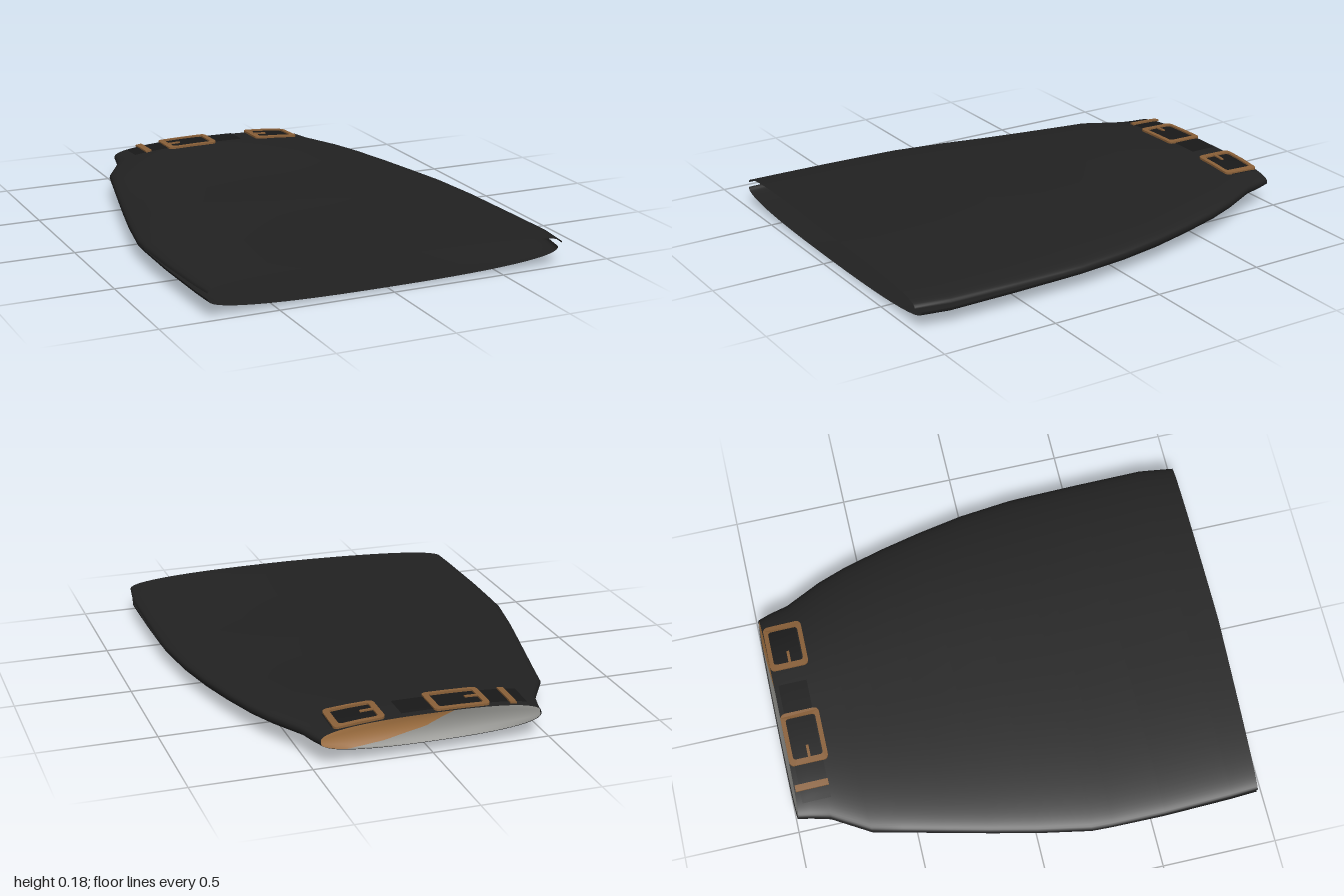
import * as THREE from 'three';
import { mergeGeometries, mergeVertices } from 'three/addons/utils/BufferGeometryUtils.js';

// Cross-sections from waist to hem: z, right edge x, left edge x, top y, bottom y, upper seam y, lower seam y
const SECTIONS = [
  [-1.00, -0.470, 0.465, 0.160, 0.050, 0.105, 0.105],
  [-0.93, -0.482, 0.485, 0.165, 0.046, 0.104, 0.104],
  [-0.85, -0.503, 0.505, 0.166, 0.041, 0.103, 0.103],
  [-0.69, -0.598, 0.585, 0.164, 0.030, 0.100, 0.100],
  [-0.56, -0.628, 0.634, 0.161, 0.020, 0.096, 0.096],
  [-0.38, -0.670, 0.685, 0.156, 0.008, 0.092, 0.092],
  [-0.20, -0.712, 0.728, 0.153, 0.000, 0.088, 0.088],
  [0.00, -0.757, 0.767, 0.156, 0.004, 0.085, 0.085],
  [0.23, -0.800, 0.793, 0.154, 0.012, 0.083, 0.083],
  [0.32, -0.803, 0.796, 0.153, 0.013, 0.084, 0.082],
  [0.55, -0.804, 0.799, 0.153, 0.013, 0.089, 0.079],
  [0.85, -0.795, 0.799, 0.155, 0.013, 0.096, 0.077],
  [1.00, -0.788, 0.777, 0.155, 0.014, 0.100, 0.077],
];
const POWER = 2.5;

function sectionAt(z) {
  let i = 0;
  while (i < SECTIONS.length - 2 && z > SECTIONS[i + 1][0]) i++;
  const a = SECTIONS[i], b = SECTIONS[i + 1];
  const k = (z - a[0]) / (b[0] - a[0]);
  return a.map((v, j) => v + (b[j] - v) * k);
}

// Height of the upper or lower panel at x, z
function panelY(x, z, upper) {
  const [, xr, xl, top, bottom, seamU, seamL] = sectionAt(z);
  const q = Math.min(1, Math.abs((x - (xl + xr) / 2) / ((xl - xr) / 2)));
  const s = Math.pow(1 - Math.pow(q, POWER), 1 / POWER);
  return upper ? seamU + (top - seamU) * s : seamL + (bottom - seamL) * s;
}

// Surface grid from a rule (u, v) => [x, y, z]
function grid(nu, nv, rule) {
  const pos = [], index = [];
  for (let j = 0; j <= nv; j++)
    for (let i = 0; i <= nu; i++) pos.push(...rule(i / nu, j / nv));
  for (let j = 0; j < nv; j++)
    for (let i = 0; i < nu; i++) {
      const a = j * (nu + 1) + i, b = a + nu + 1;
      index.push(a, a + 1, b, a + 1, b + 1, b);
    }
  const g = new THREE.BufferGeometry();
  g.setAttribute('position', new THREE.Float32BufferAttribute(pos, 3));
  g.setIndex(index);
  g.computeVertexNormals();
  return g;
}

// The waist edge leans: its top sits a little forward of its bottom
const waistZ = (y) => -1 + 0.025 * (y - 0.05) / 0.11;

function panel(upper) {
  const rows = SECTIONS.length - 1;
  const g = grid(48, rows, (u, v) => {
    const row = Math.round(v * rows);
    const [z, xr, xl, top, bottom, seamU, seamL] = SECTIONS[row];
    const t = Math.PI * u;
    const c = Math.cos(t), s = Math.pow(Math.max(0, Math.sin(t)), 2 / POWER);
    const side = (upper ? 1 : -1) * Math.sign(c) * Math.pow(Math.abs(c), 2 / POWER);
    const x = (xl + xr) / 2 + side * (xl - xr) / 2;
    const y = upper ? seamU + (top - seamU) * s : seamL + (bottom - seamL) * s;
    let zz = z;
    if (row === 0) zz = waistZ(y);
    if (row === rows) zz = upper ? 1 - 0.032 * Math.max(0, -x / 0.8) : 0.97;
    return [x, y, zz];
  });
  g.deleteAttribute('normal');
  return g;
}

// Lay a flat shape (drawn in x, z with thickness along y) onto the upper panel
function drape(g, lift) {
  const p = g.attributes.position;
  for (let i = 0; i < p.count; i++)
    p.setY(i, p.getY(i) + lift + panelY(p.getX(i), p.getZ(i), true));
  g.computeVertexNormals();
  return g;
}

function roundedRect(target, x, y, w, h, r) {
  target.moveTo(x + r, y);
  target.lineTo(x + w / 2, y);
  target.lineTo(x + w - r, y);
  target.quadraticCurveTo(x + w, y, x + w, y + r);
  target.lineTo(x + w, y + h - r);
  target.quadraticCurveTo(x + w, y + h, x + w - r, y + h);
  target.lineTo(x + w / 2, y + h);
  target.lineTo(x + r, y + h);
  target.quadraticCurveTo(x, y + h, x, y + h - r);
  target.lineTo(x, y + r);
  target.quadraticCurveTo(x, y, x + r, y);
  return target;
}

export function createModel() {
  const mat = (name, color, side = THREE.DoubleSide) => {
    const m = new THREE.MeshStandardMaterial({ color, side });
    m.name = name;
    return m;
  };
  const cloth = mat('black cloth', 0x222222);
  const leather = mat('black leather', 0x191919);
  const brass = mat('brass', 0x8a6038);
  const tanLining = mat('tan lining', 0xa07040);
  const greyLining = mat('grey lining', 0x8c8c88);

  const model = new THREE.Group();
  model.name = 'skirt';
  const add = (parent, name, geometry, material) => {
    const mesh = new THREE.Mesh(geometry, material);
    mesh.name = name;
    parent.add(mesh);
    return mesh;
  };

  // Skirt body: two panels joined along the sides, with open slits towards the hem
  const body = mergeVertices(mergeGeometries([panel(true), panel(false)]));
  body.computeVertexNormals();
  add(model, 'skirtBody', body, cloth);

  // Lining across the waist opening, slightly dished, in two colours
  const split = [[-0.13, 0.17], [0.02, 0.108], [0.2, 0.076], [0.45, 0.058]];
  const splitY = (x) => {
    if (x <= split[0][0]) return 1;
    let i = 0;
    while (i < split.length - 2 && x > split[i + 1][0]) i++;
    const [a, b] = [split[i], split[i + 1]];
    return a[1] + (b[1] - a[1]) * (x - a[0]) / (b[0] - a[0]);
  };
  const lining = (tan) => grid(72, 8, (u, v) => {
    const x = -0.0025 - 0.464 * Math.cos(Math.PI * u);
    const low = panelY(x, -1, false), high = panelY(x, -1, true);
    const mid = THREE.MathUtils.clamp(splitY(x), low, high);
    const y = tan ? high + (mid - high) * v : mid + (low - mid) * v;
    const r2 = Math.min(1, (x / 0.467) ** 2 + ((y - 0.105) / 0.055) ** 2);
    return [x, y, waistZ(y) + 0.004 + 0.012 * (1 - r2)];
  });
  add(model, 'waistLiningTan', lining(true), tanLining);
  add(model, 'waistLiningGrey', lining(false), greyLining);

  // Belt straps lying on the waistband
  const strap = (x0, x1) => drape(grid(20, 4, (u, v) =>
    [x1 + (x0 - x1) * u, 0, -0.955 + 0.125 * v]), 0.005);
  add(model, 'longStrap', strap(-0.42, 0.12), leather);
  add(model, 'shortStrap', strap(0.19, 0.41), leather);

  // Buckles: rounded frame and prong
  const flat = (shape, depth) => new THREE.ExtrudeGeometry(shape, { depth, bevelEnabled: false, curveSegments: 5 })
    .rotateX(Math.PI / 2);
  const buckle = (name, x, w) => {
    const group = new THREE.Group();
    group.name = name;
    const frame = roundedRect(new THREE.Shape(), x, -0.975, w, 0.17, 0.025);
    frame.holes.push(roundedRect(new THREE.Path(), x + 0.026, -0.955, w - 0.052, 0.13, 0.015));
    add(group, 'frame', drape(flat(frame, 0.009), 0.012), brass);
    const prong = new THREE.BoxGeometry(0.06, 0.006, 0.012, 3, 1, 1).translate(x + 0.05, 0, -0.885);
    add(group, 'prong', drape(prong, 0.009), brass);
    model.add(group);
  };
  buckle('rightBuckle', -0.255, 0.24);
  buckle('leftBuckle', 0.19, 0.215);

  // Narrow keeper loop beside the right buckle
  const loop = new THREE.BoxGeometry(0.028, 0.008, 0.145, 2, 1, 6).translate(-0.353, 0, -0.9);
  add(model, 'keeperLoop', drape(loop, 0.008), brass);

  return model;
}
